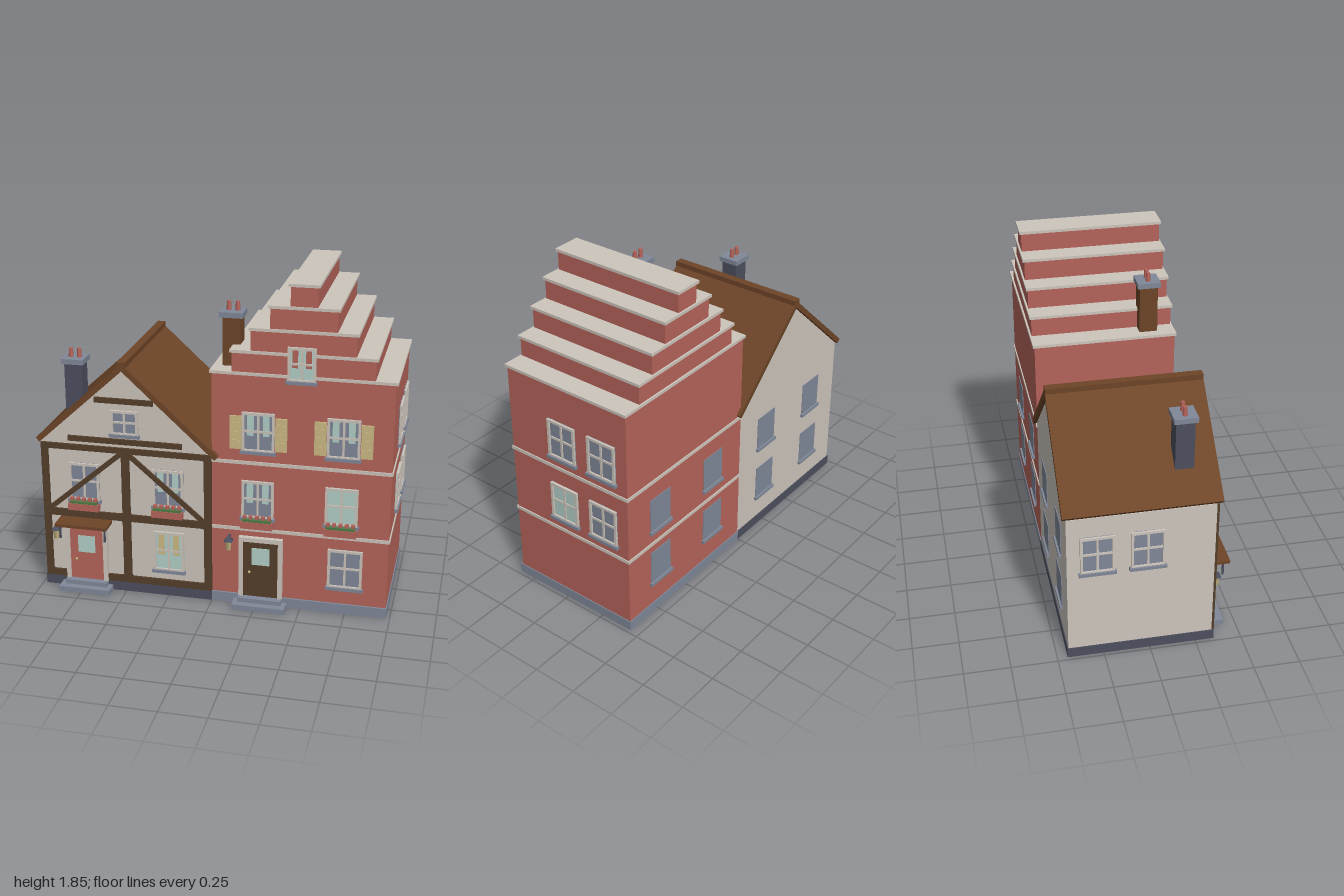
import * as THREE from 'three';

const mat = (name, color) => {
  const m = new THREE.MeshStandardMaterial({ color });
  m.name = name;
  return m;
};

export function createModel() {
  const brick = mat('brick', 0xb5645a), cream = mat('cream', 0xcdc5bc), timber = mat('timber', 0x543f2b),
    roofBrown = mat('roofBrown', 0x6e4528), slate = mat('slate', 0x4c4f5e), stone = mat('stone', 0x808898),
    lit = mat('litGlass', 0xb2cfc8), tan = mat('tan', 0xcdba85), green = mat('green', 0x4f7d45);
  const root = new THREE.Group();
  root.name = 'townHouses';
  const FRONT = 0.34, BACK = -0.44, EDGE = 0.975, MID = 0.4875;

  const add = (parent, name, geo, m, x = 0, y = 0, z = 0) => {
    const mesh = new THREE.Mesh(geo, m);
    mesh.name = name;
    mesh.position.set(x, y, z);
    parent.add(mesh);
    return mesh;
  };
  // box given by its limits on each axis
  const block = (parent, name, m, x0, x1, y0, y1, z0, z1) =>
    add(parent, name, new THREE.BoxGeometry(x1 - x0, y1 - y0, z1 - z0), m, (x0 + x1) / 2, (y0 + y1) / 2, (z0 + z1) / 2);
  const group = (name, x, y, z, turn = 0) => {
    const g = new THREE.Group();
    g.name = name;
    g.position.set(x, y, z);
    g.rotation.y = turn;
    root.add(g);
    return g;
  };

  // window: local origin at the sill's underside, facing local +z
  function addWindow(x, y, z, turn, w, h, { glass = stone, curtain = null, framed = true } = {}) {
    const g = group('window', x, y, z, turn), a = w / 2, t = 0.014, s = 0.018;
    block(g, 'glass', glass, -a, a, s, h, 0, 0.004);
    block(g, 'sill', stone, -a - 0.008, a + 0.008, 0, s, 0, framed ? 0.022 : 0.015);
    if (!framed) return;
    for (const k of [-1, 1]) {
      add(g, 'frameSide', new THREE.BoxGeometry(t, h - s, 0.014), cream, k * (a - t / 2), (h + s) / 2, 0.007);
      if (curtain)
        add(g, 'curtain', new THREE.BoxGeometry(w * 0.2, h * 0.5, 0.003), curtain, k * w * 0.24, h * 0.69, 0.0055);
    }
    block(g, 'frameTop', cream, -a, a, h - t, h, 0, 0.015);
    block(g, 'frameBottom', cream, -a, a, s, s + 0.008, 0, 0.014);
    block(g, 'mullion', cream, -0.006, 0.006, s, h, 0, 0.01);
    block(g, 'crossbar', cream, -a, a, h * 0.52, h * 0.52 + 0.012, 0, 0.01);
  }

  // planter with a hedge and a row of blooms, y is the rim
  function addFlowerBox(x, y) {
    const g = group('flowerBox', x, y, FRONT);
    block(g, 'planter', brick, -0.088, 0.088, -0.04, 0, 0.005, 0.048);
    block(g, 'leaves', green, -0.08, 0.08, 0, 0.014, 0.01, 0.044);
    for (let i = -2; i <= 2; i++)
      add(g, 'bloom', new THREE.BoxGeometry(0.02, 0.02, 0.02), brick, i * 0.034, 0.022, 0.028);
  }

  function addDoor(x, top, panel, lightY) {
    const g = group('door', x, 0, FRONT);
    for (const k of [-1, 1])
      add(g, 'doorPost', new THREE.BoxGeometry(0.025, top - 0.055, 0.025), cream, k * 0.11, (top + 0.055) / 2, 0.0125);
    block(g, 'doorLintel', cream, -0.122, 0.122, top - 0.025, top, 0, 0.028);
    block(g, 'doorPanel', panel, -0.0975, 0.0975, 0.055, top - 0.025, 0, 0.016);
    block(g, 'doorGlass', lit, -0.05, 0.05, lightY, lightY + 0.102, 0.016, 0.02);
    add(g, 'doorKnob', new THREE.SphereGeometry(0.008, 10, 8), tan, -0.062, lightY - 0.045, 0.022);
    block(g, 'lowerStep', stone, -0.149, 0.149, 0, 0.03, 0, 0.095);
    block(g, 'upperStep', stone, -0.122, 0.122, 0.03, 0.055, 0, 0.055);
    return g;
  }

  function addLantern(x, y) {
    const g = group('lantern', x, y, FRONT);
    block(g, 'lanternArm', slate, -0.006, 0.006, 0.07, 0.08, 0, 0.035);
    add(g, 'lanternLight', new THREE.CylinderGeometry(0.021, 0.016, 0.055, 4).rotateY(Math.PI / 4), tan, 0, 0.028, 0.034);
    add(g, 'lanternCap', new THREE.ConeGeometry(0.034, 0.034, 4).rotateY(Math.PI / 4), slate, 0, 0.072, 0.034);
  }

  function addChimney(x, z, y0, y1, m) {
    const g = group('chimney', x, 0, z);
    block(g, 'stack', m, -0.049, 0.049, y0, y1, -0.05, 0.05);
    block(g, 'chimneyCap', stone, -0.063, 0.063, y1 - 0.005, y1 + 0.024, -0.063, 0.063);
    for (const k of [-1, 1])
      add(g, 'chimneyPot', new THREE.CylinderGeometry(0.011, 0.014, 0.05, 12), brick, k * 0.024, y1 + 0.048, 0);
  }

  // ---- timbered house ----
  const wall = new THREE.Shape([[-EDGE, 0.05], [0, 0.05], [0, 0.88], [-MID, 1.328], [-EDGE, 0.88]]
    .map(([x, y]) => new THREE.Vector2(x, y)));
  add(root, 'gabledWalls', new THREE.ExtrudeGeometry(wall, { depth: FRONT - BACK, bevelEnabled: false }), cream, 0, 0, BACK);
  block(root, 'leftPlinth', slate, -0.98, 0, 0, 0.057, BACK - 0.005, FRONT + 0.012);

  // roof slabs as a slanted section swept from back to front
  const ridge = [-0.49, 1.366];
  for (const [name, ex, ey, lx, ly] of [['leftRoof', -0.994, 0.904, -0.974, 0.882], ['rightRoof', 0.04, 0.878, 0.02, 0.856]]) {
    const s = new THREE.Shape([[ex, ey], [lx, ly], [ridge[0], ridge[1] - 0.041], ridge]
      .map(([x, y]) => new THREE.Vector2(x, y)));
    add(root, name, new THREE.ExtrudeGeometry(s, { depth: 0.83, bevelEnabled: false }), roofBrown, 0, 0, -0.46);
  }
  block(root, 'ridgeCap', roofBrown, -0.514, -0.467, 1.335, 1.374, -0.46, 0.37);

  // timber frame with four softly cornered openings
  const frame = new THREE.Shape([[-EDGE, 0.056], [0, 0.056], [0, 0.875], [-EDGE, 0.875]]
    .map(([x, y]) => new THREE.Vector2(x, y)));
  const opening = (x0, x1, y0, y1, r = 0.014) => {
    const p = new THREE.Path();
    p.moveTo(x0 + r, y0);
    p.lineTo(x1 - r, y0).quadraticCurveTo(x1, y0, x1, y0 + r);
    p.lineTo(x1, y1 - r).quadraticCurveTo(x1, y1, x1 - r, y1);
    p.lineTo(x0 + r, y1).quadraticCurveTo(x0, y1, x0, y1 - r);
    p.lineTo(x0, y0 + r).quadraticCurveTo(x0, y0, x0 + r, y0);
    return p;
  };
  for (const [x0, x1] of [[-0.935, -0.512], [-0.466, -0.043]])
    for (const [y0, y1] of [[0.096, 0.436], [0.478, 0.842]]) frame.holes.push(opening(x0, x1, y0, y1));
  add(root, 'timberFrame', new THREE.ExtrudeGeometry(frame, { depth: 0.013, bevelEnabled: false, curveSegments: 4 }), timber, 0, 0, FRONT);
  for (const k of [-1, 1]) {
    const brace = add(root, 'diagonalBrace', new THREE.BoxGeometry(0.555, 0.028, 0.01), timber, -0.489 + k * 0.232, 0.664, FRONT + 0.02);
    brace.rotation.z = -k * Math.atan2(0.36, 0.42);
  }
  block(root, 'upperGableBeam', timber, -0.655, -0.325, 1.132, 1.162, FRONT, FRONT + 0.014);
  block(root, 'lowerGableBeam', timber, -0.815, -0.165, 0.896, 0.926, FRONT, FRONT + 0.014);

  addWindow(-0.488, 0.938, FRONT, 0, 0.155, 0.155);
  for (const x of [-0.73, -0.248]) {
    addWindow(x, 0.53, FRONT, 0, 0.175, 0.235, { curtain: x < -0.5 ? null : lit });
    addFlowerBox(x, 0.532);
  }
  addWindow(-0.248, 0.14, FRONT, 0, 0.175, 0.252, { glass: lit, curtain: tan });
  for (const z of [-0.017, -0.281]) addWindow(-EDGE, 0.53, z, -Math.PI / 2, 0.18, 0.235);

  const leftDoor = addDoor(-0.728, 0.4, brick, 0.222);
  block(leftDoor, 'canopy', roofBrown, -0.15, 0.15, 0.412, 0.43, 0, 0.115);
  block(leftDoor, 'canopyBeam', timber, -0.12, 0.12, 0.4, 0.412, 0.02, 0.09);
  for (const k of [-1, 1]) {
    add(leftDoor, 'canopyBracket', new THREE.BoxGeometry(0.01, 0.08, 0.01), slate, k * 0.13, 0.37, 0.082);
    add(leftDoor, 'canopyBracketArm', new THREE.BoxGeometry(0.01, 0.012, 0.1), slate, k * 0.13, 0.406, 0.05);
  }
  addLantern(-0.9, 0.302);
  addChimney(-0.806, 0.193, 0.95, 1.31, slate);

  // ---- stepped brick house ----
  block(root, 'rightPlinth', stone, 0, 0.98, 0, 0.057, BACK - 0.005, FRONT + 0.012);
  const tiers = [[MID, 0.05, 1.345], [0.38, 1.35, 1.465], [0.278, 1.47, 1.59], [0.176, 1.595, 1.715], [0.071, 1.72, 1.835]];
  for (const [half, y0, y1] of tiers) {
    block(root, 'brickTier', brick, MID - half, MID + half, y0, y1, BACK, FRONT);
    block(root, 'coping', cream, MID - half - 0.011, MID + half + 0.011, y1, y1 + 0.016, BACK - 0.01, FRONT + 0.008);
  }
  for (const y of [0.447, 0.84])
    block(root, 'stringCourse', cream, 0, EDGE + 0.006, y, y + 0.019, BACK - 0.006, FRONT + 0.007);

  for (const x of [0.256, 0.714]) {
    addWindow(x, 0.905, FRONT, 0, 0.178, 0.236, { curtain: lit });
    for (const k of [-1, 1]) {
      const g = group('shutter', x + k * 0.124, 0.928, FRONT);
      block(g, 'shutterBoard', tan, -0.032, 0.032, 0, 0.188, 0, 0.01);
      for (const y of [0.04, 0.09, 0.14]) block(g, 'shutterSlat', tan, -0.026, 0.026, y, y + 0.012, 0.01, 0.014);
    }
    addWindow(x, 0.515, FRONT, 0, 0.178, 0.232, x < 0.5 ? { curtain: lit } : { glass: lit });
    addFlowerBox(x, 0.518);
  }
  addWindow(0.743, 0.143, FRONT, 0, 0.19, 0.242);
  addWindow(0.484, 1.318, FRONT + 0.006, 0, 0.15, 0.2, { glass: lit, curtain: brick });
  for (const z of [-0.017, -0.281]) {
    addWindow(EDGE, 0.905, z, Math.PI / 2, 0.18, 0.236);
    addWindow(EDGE, 0.515, z, Math.PI / 2, 0.18, 0.232, { glass: z > -0.1 ? lit : stone });
  }
  addDoor(0.277, 0.415, timber, 0.25);
  addLantern(0.1, 0.335);
  addChimney(0.088, 0.2, 1.35, 1.632, roofBrown);

  // plain windows along the back
  for (const x of [-0.718, -0.256, 0.256, 0.714])
    for (const y of [0.185, 0.525]) addWindow(x, y, BACK, Math.PI, 0.165, 0.215, { framed: false });

  return root;
}
